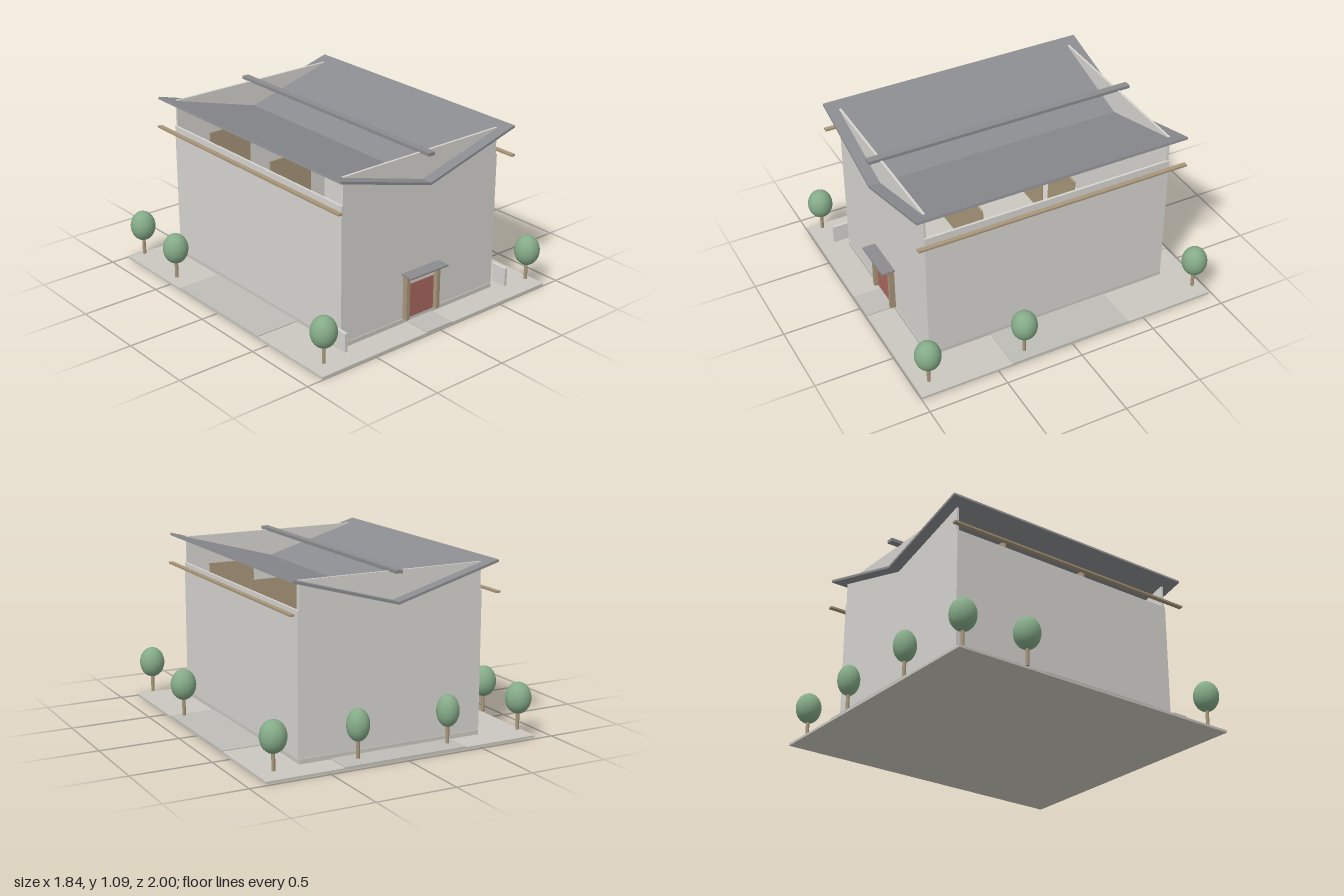
import * as THREE from 'three';

const mat = (color, side = THREE.FrontSide) => new THREE.MeshStandardMaterial({ color, side });
const M = {
  wall: mat(0xd6d4cf), paving: mat(0xc9c7bf), path: mat(0xbfbdb7), roof: mat(0x8b8c8f),
  timber: mat(0xa8967a), door: mat(0xa8685e), leaf: mat(0x85ab88),
};

export function createModel() {
  const root = new THREE.Group();

  function add(name, geometry, material, parent = root) {
    const mesh = new THREE.Mesh(geometry, material);
    mesh.name = name;
    parent.add(mesh);
    return mesh;
  }
  // Box given by its lower and upper limits on each axis
  function box(name, [x0, x1], [y0, y1], [z0, z1], material) {
    const mesh = add(name, new THREE.BoxGeometry(x1 - x0, y1 - y0, z1 - z0), material);
    mesh.position.set((x0 + x1) / 2, (y0 + y1) / 2, (z0 + z1) / 2);
    return mesh;
  }
  // Pair of boxes mirrored across x = 0
  function pair(name, [x0, x1], y, z, material) {
    box(name + 'Left', [x0, x1], y, z, material);
    box(name + 'Right', [-x1, -x0], y, z, material);
  }

  // Ground, paths and plinth
  box('ground', [-0.89, 0.89], [0, 0.015], [-0.98, 0.995], M.paving);
  box('frontPath', [-0.1, 0.1], [0.01, 0.02], [0.81, 0.996], M.path);
  box('backPath', [-0.4, 0.4], [0.01, 0.02], [-0.98, -0.8], M.path);
  pair('sidePath', [0.6, 0.89], [0.01, 0.02], [-0.39, 0.405], M.path);
  box('plinth', [-0.6, 0.6], [0.01, 0.043], [-0.805, 0.82], M.paving);

  // Flat-topped end walls rise through the valley roof; side walls stop below the eaves
  box('frontWall', [-0.595, 0.595], [0.043, 1.07], [0.8, 0.815], M.wall);
  box('backWall', [-0.595, 0.595], [0.043, 1.07], [-0.8, -0.785], M.wall);
  pair('sideWall', [0.59, 0.605], [0.043, 0.9], [-0.8, 0.815], M.wall);

  // Timber partitions seen through the open strip under the eaves
  for (const z of [0.45, -0.15]) {
    box('partitionLeft', [0.29, 0.59], [0.043, 0.955], [z - 0.01, z], M.timber);
    box('partitionRight', [-0.59, -0.29], [0.043, 0.955], [-z, -z + 0.01], M.timber);
  }

  // Valley roof: chevron section along z
  const chevron = new THREE.Shape([
    [0, 0.886], [0.672, 1.073], [0.668, 1.088], [0, 0.901], [-0.668, 1.088], [-0.672, 1.073],
  ].map(([x, y]) => new THREE.Vector2(x, y)));
  const roof = add('valleyRoof',
    new THREE.ExtrudeGeometry(chevron, { depth: 1.76, bevelEnabled: false }), M.roof);
  roof.position.z = -0.873;

  // Long beam over the valley and timber rails beside the eaves
  box('topBeam', [-0.023, 0.023], [1.065, 1.085], [-0.873, 0.887], M.roof);
  pair('eaveRail', [0.658, 0.687], [0.888, 0.9], [-0.873, 0.887], M.timber);

  // Entrance
  box('door', [-0.1, 0.1], [0.045, 0.262], [0.812, 0.828], M.door);
  box('transom', [-0.108, 0.108], [0.262, 0.302], [0.812, 0.824], M.wall);
  pair('doorPost', [0.108, 0.133], [0.043, 0.302], [0.815, 0.85], M.timber);
  box('lintel', [-0.135, 0.135], [0.302, 0.332], [0.815, 0.852], M.timber);
  box('canopy', [-0.147, 0.147], [0.332, 0.342], [0.815, 0.9], M.roof);

  // Low screens at the front corners
  pair('screen', [0.632, 0.652], [0.043, 0.162], [0.8, 0.905], M.wall);

  // Trees: x, z, crown radius
  const crown = new THREE.SphereGeometry(1, 32, 20);
  const trunk = new THREE.CylinderGeometry(0.011, 0.011, 0.14, 12);
  const trees = [
    [-0.815, 0.915, 0.079], [0.81, 0.915, 0.079], [-0.815, -0.905, 0.079], [0.81, -0.905, 0.079],
    [-0.845, -0.49, 0.079], [0.84, 0.305, 0.079], [-0.3, -0.934, 0.068], [0.295, -0.934, 0.068],
  ];
  for (const [x, z, r] of trees) {
    const tree = new THREE.Group();
    tree.name = 'tree';
    tree.position.set(x, 0, z);
    add('trunk', trunk, M.timber, tree).position.y = 0.113;
    const leaves = add('crown', crown, M.leaf, tree);
    leaves.position.y = 0.24;
    leaves.scale.set(r, 0.097, r);
    root.add(tree);
  }
  return root;
}
